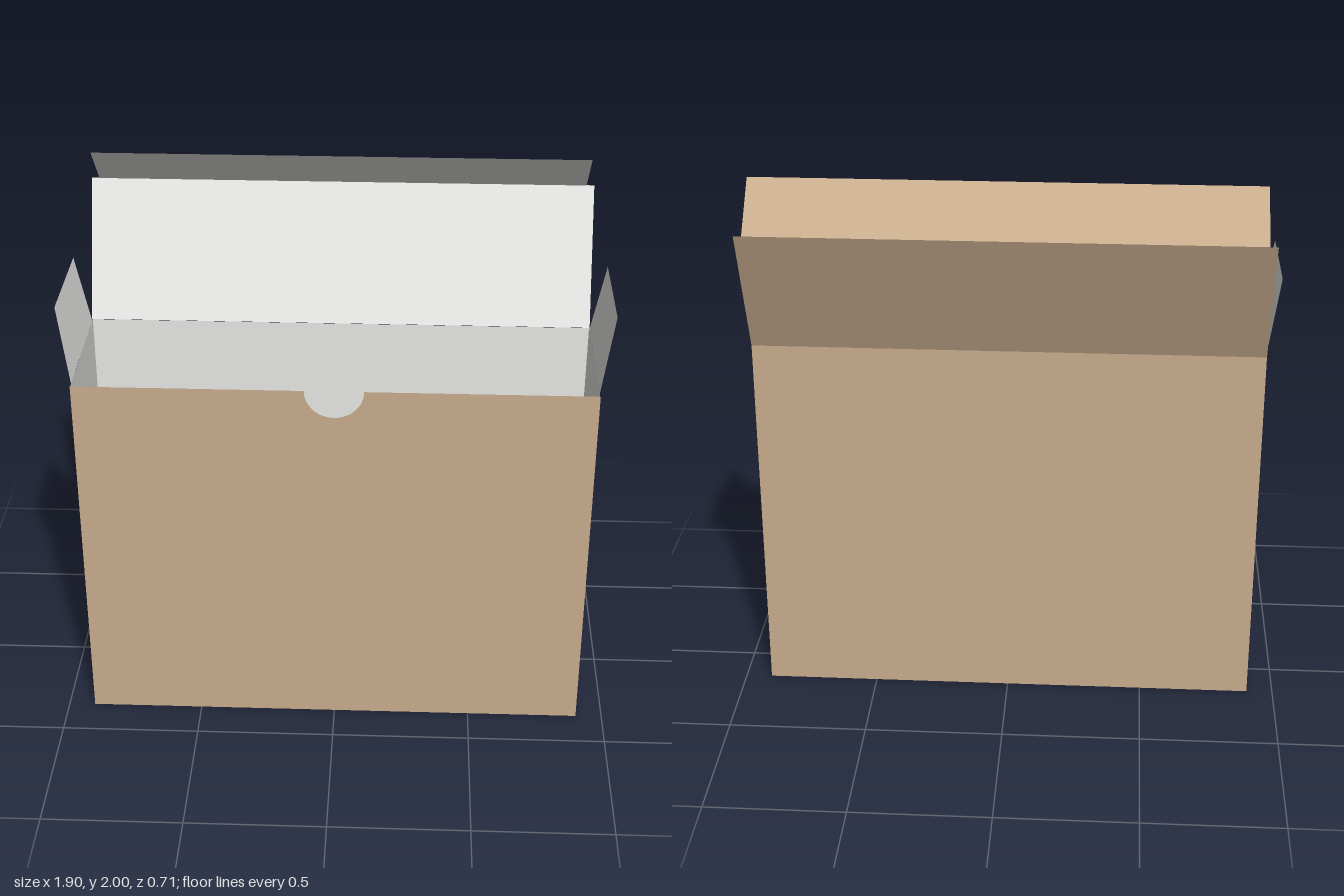
import * as THREE from 'three';

const W = 0.904, H = 1.368, ZF = 0.354, ZB = -0.159; // half width, wall height, front and back
const ZC = (ZF + ZB) / 2, HD = (ZF - ZB) / 2;
const THICK = 0.002;

function polygon(...pts) {
  return new THREE.Shape(pts.map(([x, y]) => new THREE.Vector2(x, y)));
}
// Symmetric panel standing on its fold line
const panelShape = (bottom, top, h) => polygon([-bottom, 0], [bottom, 0], [top, h], [-top, h]);

export function createModel() {
  const model = new THREE.Group();
  model.name = 'openCarton';

  const kraft = new THREE.MeshStandardMaterial({ color: 0xc8ac8d });
  kraft.name = 'kraft brown';
  const lining = new THREE.MeshStandardMaterial({ color: 0xf4f4f2 });
  lining.name = 'pale lining';

  // Thin card: brown outer face along u x v, pale inner face just behind it
  function addPanel(name, shape, origin, u, v) {
    const U = new THREE.Vector3(...u).normalize();
    const V = new THREE.Vector3(...v).normalize();
    const N = U.clone().cross(V);
    const outer = new THREE.ShapeGeometry(shape, 32);
    const inner = outer.clone();
    inner.setIndex(Array.from(outer.index.array).reverse());
    inner.translate(0, 0, -THICK);
    inner.computeVertexNormals();

    const panel = new THREE.Group();
    panel.name = name;
    const outside = new THREE.Mesh(outer, kraft);
    outside.name = name + 'Outside';
    const inside = new THREE.Mesh(inner, lining);
    inside.name = name + 'Inside';
    panel.add(outside, inside);
    panel.quaternion.setFromRotationMatrix(new THREE.Matrix4().makeBasis(U, V, N));
    panel.position.set(...origin);
    model.add(panel);
  }

  // Front wall with a half-round thumb notch
  const R = 0.103;
  const front = new THREE.Shape();
  front.moveTo(-W, 0);
  front.lineTo(W, 0);
  front.lineTo(W, H);
  front.lineTo(R, H);
  front.absarc(0, H, R, 0, -Math.PI, true);
  front.lineTo(-W, H);
  front.closePath();
  addPanel('frontWall', front, [0, 0, ZF], [1, 0, 0], [0, 1, 0]);

  // Back wall
  addPanel('backWall', panelShape(W, W, H), [0, 0, ZB], [-1, 0, 0], [0, 1, 0]);

  // Floor with a round hole
  const floor = polygon([-W, -HD], [W, -HD], [W, HD], [-W, HD]);
  const hole = new THREE.Path();
  hole.absarc(0, 0, 0.075, 0, Math.PI * 2, true);
  floor.holes.push(hole);
  addPanel('floor', floor, [0, 0, ZC], [1, 0, 0], [0, 0, 1]);

  // Side walls and their tapered dust flaps
  const lean = 0.044, rise = 0.27;
  for (const [side, s] of [['left', 1], ['right', -1]]) {
    addPanel(side + 'Wall', panelShape(HD, HD, H), [s * W, 0, ZC], [0, 0, -s], [0, 1, 0]);
    addPanel(side + 'DustFlap', panelShape(0.24, 0.199, Math.hypot(lean, rise)),
      [s * W, H, ZC - 0.002], [0, 0, -s], [s * lean, rise, 0]);
  }

  // Lid leaning back, with the tuck flap folded forward
  const lidY = 1.841, lidZ = -0.353;
  addPanel('lid', panelShape(W, W, Math.hypot(lidY - H, lidZ - ZB)),
    [0, H, ZB], [-1, 0, 0], [0, lidY - H, lidZ - ZB]);
  const tuckRise = 2 - lidY, tuckRun = 0.152;
  addPanel('tuckFlap', panelShape(0.876, 0.876, Math.hypot(tuckRise, tuckRun)),
    [0, lidY, lidZ], [-1, 0, 0], [0, tuckRise, tuckRun]);

  return model;
}
